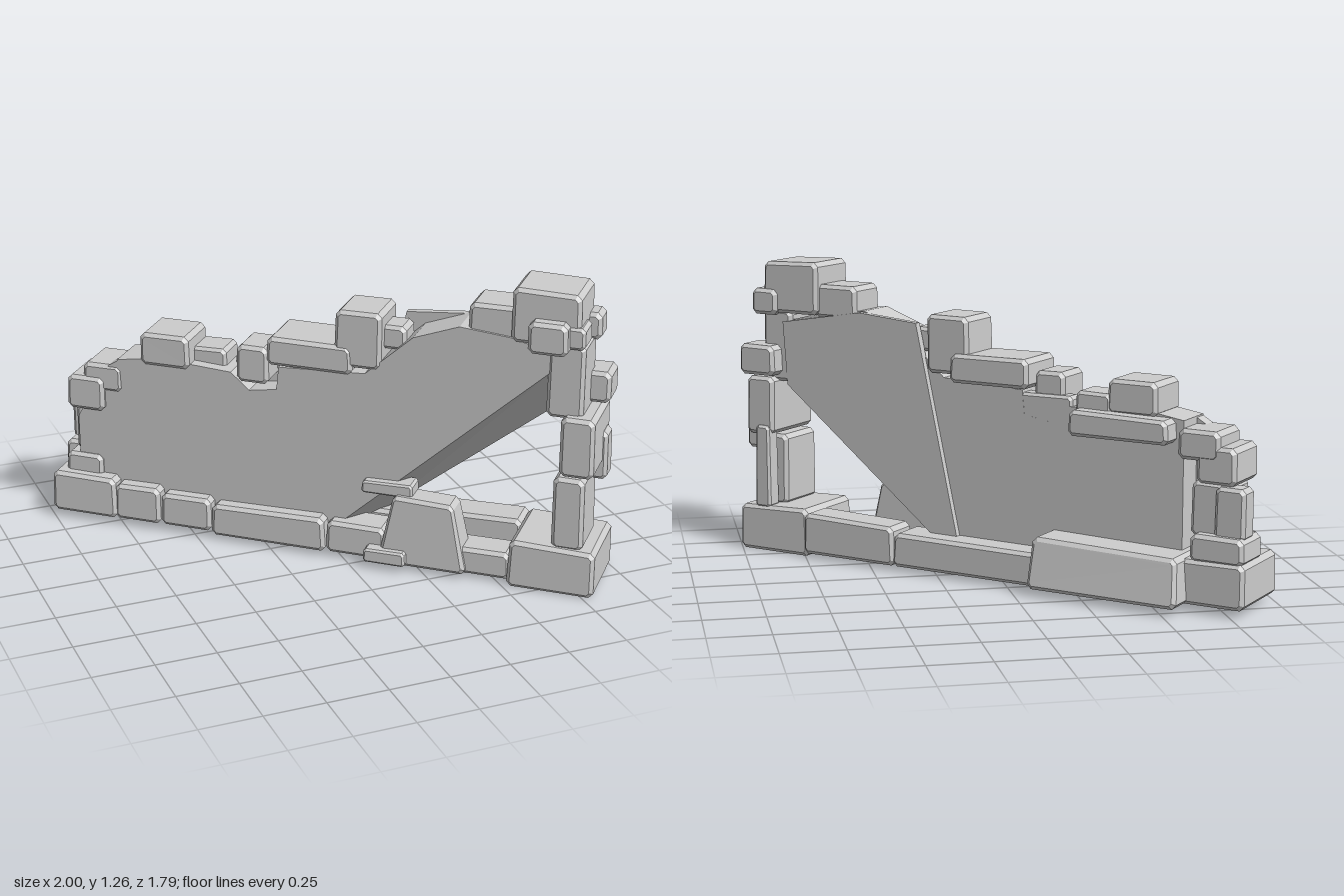
import * as THREE from 'three';

const stoneMat = new THREE.MeshStandardMaterial({ color: 0xcccccc });
stoneMat.name = 'pale stone';
stoneMat.flatShading = true;

let seed = 7;
const rand = () => {
  seed = (seed * 16807) % 2147483647;
  return seed / 2147483647 - 0.5;
};

// Chamfered block, slightly skewed so each stone looks hand cut
function stone(u0, u1, y0, y1, v0, v1, topScale = 0.97, topScaleV = 0.97) {
  const w = u1 - u0, h = y1 - y0, d = v1 - v0;
  const b = Math.min(0.015, 0.14 * Math.min(w, h, d));
  const X = w / 2 - b, Y = h / 2 - b, c = b * 0.7;
  const s = new THREE.Shape([
    [-X + c, -Y], [X - c, -Y], [X, -Y + c], [X, Y - c],
    [X - c, Y], [-X + c, Y], [-X, Y - c], [-X, -Y + c],
  ].map(([x, y]) => new THREE.Vector2(x, y)));
  const g = new THREE.ExtrudeGeometry(s, {
    depth: d - 2 * b, bevelThickness: b, bevelSize: b, bevelSegments: 1,
  });
  g.translate(0, 0, -d / 2 + b);
  const slope = rand() * 0.06, lean = rand() * 0.05;
  const p = g.attributes.position;
  for (let i = 0; i < p.count; i++) {
    const x = p.getX(i), y = p.getY(i), z = p.getZ(i), t = y / h + 0.5;
    p.setXYZ(i, x * (1 + (topScale - 1) * t) + lean * y,
      y + slope * x * t, z * (1 + (topScaleV - 1) * t));
  }
  g.translate((u0 + u1) / 2, (y0 + y1) / 2, (v0 + v1) / 2);
  g.computeVertexNormals();
  return g;
}

// Upright slab; the front corners listed in thinEdge are drawn back to thinV
function panel(points, v0, v1, thinEdge = [], thinV = v1) {
  const s = new THREE.Shape(points.map(([u, y]) => new THREE.Vector2(u, y)));
  const g = new THREE.ExtrudeGeometry(s, { depth: v1 - v0, bevelEnabled: false });
  g.translate(0, 0, v0);
  const p = g.attributes.position;
  for (let i = 0; i < p.count; i++) {
    const thin = thinEdge.some(([u, y]) => Math.hypot(p.getX(i) - u, p.getY(i) - y) < 1e-4);
    if (thin && p.getZ(i) > v0 + 1e-4) p.setZ(i, thinV);
  }
  g.computeVertexNormals();
  return g;
}

// Each stone: u0, u1 along the wall, y0, y1 height, v0, v1 through the wall
const parts = {
  cornerBase: [
    [0.83, 1.19, 0.0, 0.2, -0.175, 0.175],
    [-1.19, -0.89, 0.03, 0.21, -0.165, 0.172],
    [-1.18, -0.95, 0.2, 0.31, -0.155, 0.04],
    [-1.14, -0.97, 0.19, 0.29, -0.1, 0.12],
  ],
  frontFooting: [
    [-0.9, -0.69, 0.03, 0.19, 0, 0.165],
    [-0.69, -0.46, 0.03, 0.175, 0, 0.16],
    [-0.46, 0.05, 0.02, 0.165, 0, 0.165],
    [0.05, 0.31, 0.02, 0.16, 0, 0.155],
    [0.6, 0.84, 0.015, 0.13, 0, 0.15],
    [0.23, 0.41, 0.03, 0.09, 0.1, 0.21],
    [0.2, 0.42, 0.31, 0.365, 0.04, 0.14],
  ],
  frontButtress: [[0.28, 0.66, 0.02, 0.32, 0.03, 0.18, 0.66, 0.8]],
  backFooting: [
    [0.38, 0.84, 0.02, 0.19, -0.2, -0.04],
    [-0.34, 0.39, 0.02, 0.16, -0.2, -0.02],
  ],
  backBoulder: [[-0.95, -0.29, 0.03, 0.23, -0.275, 0.05, 0.96, 0.74]],
  highColumn: [
    [1.0, 1.13, 0.19, 0.5, -0.08, 0.15],
    [1.03, 1.11, 0.19, 0.55, -0.165, -0.09, 0.85],
    [1.08, 1.18, 0.44, 0.65, -0.12, -0.02],
    [1.02, 1.16, 0.51, 0.76, -0.15, 0.155],
    [0.95, 1.1, 0.74, 1.05, -0.1, 0.11],
    [1.0, 1.18, 0.77, 0.9, -0.17, -0.02],
  ],
  highCap: [
    [0.8, 1.08, 1.04, 1.26, -0.125, 0.12],
    [0.62, 0.83, 1.03, 1.17, -0.1, 0.09],
    [0.88, 1.04, 1.02, 1.15, 0.06, 0.175],
    [1.0, 1.13, 1.03, 1.14, -0.14, -0.03],
    [1.02, 1.1, 1.04, 1.13, 0.0, 0.13],
  ],
  copingStone: [
    [0.07, 0.27, 0.84, 1.08, -0.11, 0.11],
    [0.22, 0.36, 0.92, 1.02, -0.07, 0.06],
    [-0.22, 0.15, 0.81, 0.93, -0.13, 0.12],
    [-0.35, -0.21, 0.72, 0.88, -0.06, 0.12],
    [-0.4, -0.14, 0.62, 0.79, -0.08, 0],
    [-0.78, -0.56, 0.74, 0.88, -0.1, 0.12],
    [-0.58, -0.42, 0.73, 0.82, -0.1, 0.05],
    [-0.86, -0.42, 0.65, 0.75, -0.17, -0.02],
  ],
  lowColumn: [
    [-1.05, -0.87, 0.59, 0.71, -0.1, 0.11],
    [-1.12, -0.95, 0.5, 0.65, -0.1, 0.125],
    [-1.1, -0.93, 0.29, 0.51, -0.1, 0.09],
    [-1.17, -1.04, 0.29, 0.5, -0.12, -0.02],
  ],
};

// Ragged edge of the breach near the lower high end
const breach = [[0.2, 0.05], [0.24, 0.15], [0.97, 0.73]];

export function createModel() {
  const model = new THREE.Group();
  model.name = 'ruinedWall';
  const add = (name, geo) => {
    const m = new THREE.Mesh(geo, stoneMat);
    m.name = name;
    model.add(m);
  };

  // Broken wall core with a stepped top
  add('wallCore', panel([
    [-0.89, 0.05], [0, 0.05], [0.1, 0.3], [0.8, 0.8], [0.99, 0.95], [0.99, 1.0],
    [0.8, 1.05], [0.59, 1.07], [0.4, 1.0], [0.2, 0.82], [-0.17, 0.8],
    [-0.18, 0.7], [-0.3, 0.68], [-0.38, 0.75], [-0.7, 0.77], [-0.89, 0.74],
  ], -0.08, 0.1));
  // Core thins to a sharp lip at the breach
  add('breachLip', panel([
    [0, 0.05], ...breach, [0.99, 0.95], [0.8, 0.8], [0.1, 0.3],
  ], -0.08, 0.1, breach, -0.07));
  // Front skin reaches over the low end column
  add('frontSkin', panel([
    [-1.08, 0.12], [-0.88, 0.12], [-0.88, 0.74], [-0.93, 0.71], [-1.0, 0.6], [-1.08, 0.46],
  ], 0.04, 0.1));
  // Raised slab on the back, split from the rest by a slanting crack
  add('backSlab', panel([
    [0.12, 0.13], ...breach.slice(1), [0.99, 1.0], [0.6, 1.065], [0.32, 1.04],
  ], -0.105, -0.075));

  // Individual stones
  for (const [name, list] of Object.entries(parts)) {
    list.forEach((a) => add(name, stone(...a)));
  }

  // The wall runs diagonally across the plot
  model.rotation.y = -0.715;
  return model;
}
